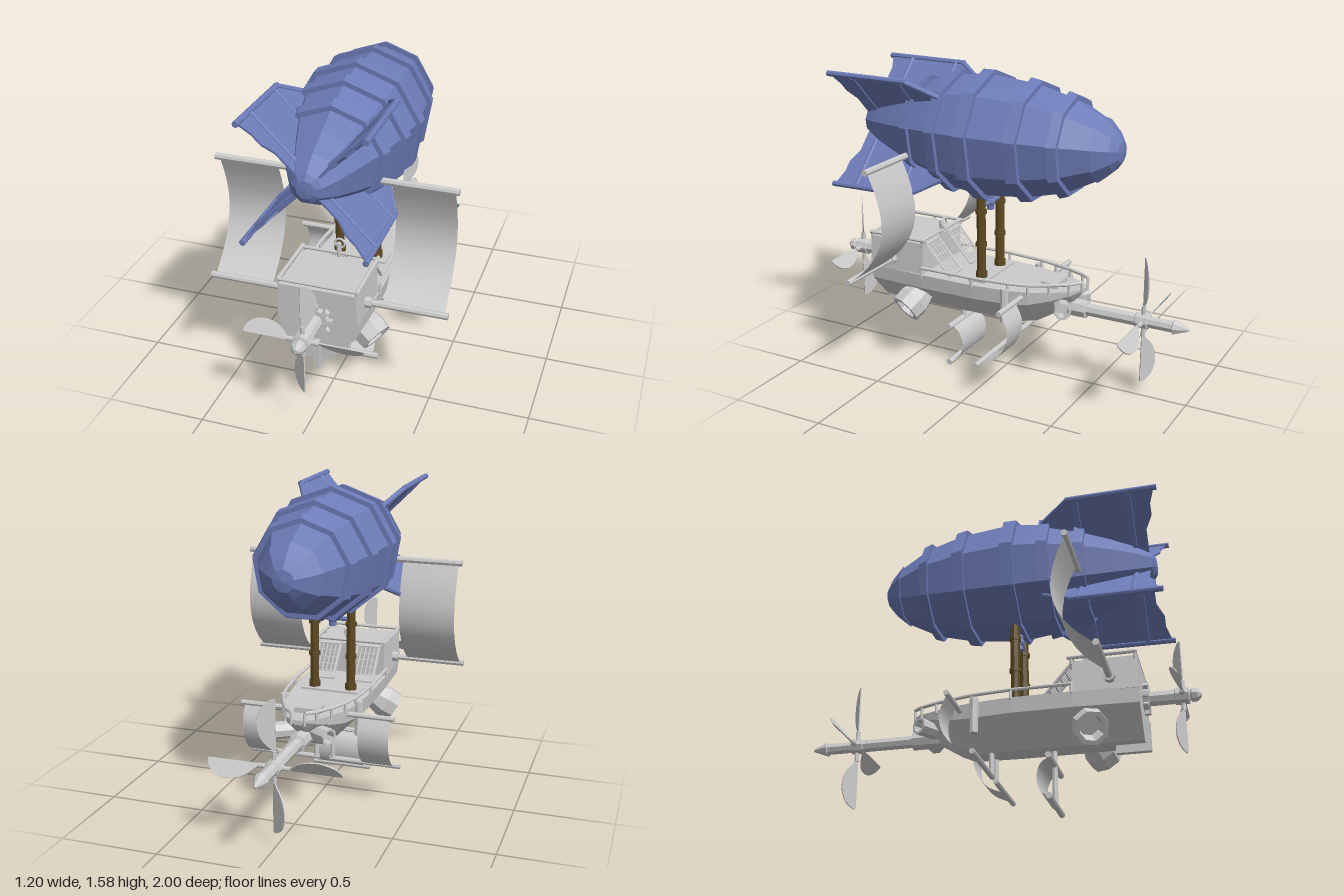
import * as THREE from 'three';

const mat = (color) => new THREE.MeshStandardMaterial({ color, flatShading: true, side: THREE.DoubleSide });
const grey = mat(0xcccccc), blue = mat(0x6d7cb8), brown = mat(0x5e4a22);
const cloth = new THREE.MeshStandardMaterial({ color: 0xcccccc, side: THREE.DoubleSide });
const V = (x, y, z) => new THREE.Vector3(x, y, z);
const UP = V(0, 1, 0);

function add(parent, name, geo, material = grey, x = 0, y = 0, z = 0) {
  const m = new THREE.Mesh(geo, material);
  m.name = name;
  m.position.set(x, y, z);
  parent.add(m);
  return m;
}

function group(parent, name, x = 0, y = 0, z = 0) {
  const g = new THREE.Group();
  g.name = name;
  g.position.set(x, y, z);
  parent.add(g);
  return g;
}

const box = (parent, name, w, h, d, x, y, z, m = grey) => add(parent, name, new THREE.BoxGeometry(w, h, d), m, x, y, z);

// Straight bar between two points
function rod(parent, name, a, b, r, material = grey, sides = 8) {
  const dir = b.clone().sub(a);
  const m = add(parent, name, new THREE.CylinderGeometry(r, r, dir.length(), sides), material);
  m.position.copy(a).add(b).multiplyScalar(0.5);
  m.quaternion.setFromUnitVectors(UP, dir.normalize());
  return m;
}

// Turned part along z from [radius, z] pairs in rising z
const turned = (pts, sides) =>
  new THREE.LatheGeometry(pts.map(p => new THREE.Vector2(...p)), sides, Math.PI).rotateX(Math.PI / 2);

// Curved cloth whose side profile runs through [y, z] points
function sail(parent, name, x0, x1, pts) {
  const curve = new THREE.CatmullRomCurve3(pts.map(([y, z]) => V(0, y, z)));
  const geo = new THREE.PlaneGeometry(x1 - x0, 1, 1, 14);
  const p = geo.attributes.position;
  for (let i = 0; i < p.count; i++) {
    const c = curve.getPoint(Math.min(1, Math.max(0, p.getY(i) + 0.5)));
    p.setXYZ(i, p.getX(i) + (x0 + x1) / 2, c.y, c.z);
  }
  geo.computeVertexNormals();
  add(parent, name, geo, cloth);
}

const profile = [[0, -0.615], [0.05, -0.608], [0.095, -0.58], [0.155, -0.515], [0.235, -0.36], [0.285, -0.16],
  [0.31, 0.1], [0.288, 0.29], [0.24, 0.46], [0.185, 0.6], [0.13, 0.72], [0.075, 0.81], [0.045, 0.828], [0, 0.832]];
function radiusAt(z) {
  const i = profile.findIndex(p => p[1] >= z);
  const [r0, z0] = profile[i - 1], [r1, z1] = profile[i];
  return r0 + (r1 - r0) * (z - z0) / (z1 - z0);
}

function buildBalloon(root) {
  const g = group(root, 'balloon', 0, 1.255, 0);
  add(g, 'envelope', turned(profile, 9), blue);
  const cap = [[0, -0.625], [0.055, -0.617], [0.1, -0.585], [0.165, -0.515], [0.15, -0.512]];
  add(g, 'noseCap', turned(cap, 9), blue);
  for (const [z0, z1] of [[0.435, 0.485], [0.255, 0.31], [0.068, 0.135], [-0.19, -0.13], [-0.38, -0.335]]) {
    const a = radiusAt(z0), b = radiusAt(z1), t = 0.025;
    add(g, 'hoop', turned([[a - 0.01, z0], [a + t, z0], [b + t, z1], [b - 0.01, z1]], 9), blue);
  }
  // Four diagonal tail fins, each a thin panel framed by spars
  const shape = new THREE.Shape([[0.28, 0.26], [0.28, 0.3], [0.42, 0.395], [0.86, 0.405], [0.835, 0.33], [0.835, 0.27],
    [0.8, 0.2], [0.8, 0.06], [0.6, 0.12], [0.4, 0.2]].map(p => new THREE.Vector2(...p)));
  for (let k = 0; k < 4; k++) {
    const fin = group(g, 'tailFin');
    fin.rotation.z = Math.PI / 4 + k * Math.PI / 2 - Math.PI / 2;
    const panel = new THREE.ExtrudeGeometry(shape, { depth: 0.01, bevelEnabled: false });
    add(fin, 'finPanel', panel.translate(0, 0, -0.005).rotateY(-Math.PI / 2), blue);
    rod(fin, 'finOuterSpar', V(0, 0.405, 0.41), V(0, 0.41, 0.875), 0.015, blue);
    rod(fin, 'finFrontSpar', V(0, 0.295, 0.27), V(0, 0.405, 0.42), 0.014, blue);
    rod(fin, 'finRib', V(0, 0.1, 0.73), V(0, 0.4, 0.73), 0.016, blue);
    rod(fin, 'finRib', V(0, 0.2, 0.46), V(0, 0.4, 0.46), 0.014, blue);
  }
  // Fitting hung below the envelope
  rod(g, 'hangerPost', V(0, -0.395, 0.1), V(0, -0.29, 0.1), 0.02, blue);
  rod(g, 'hangerBar', V(-0.1, -0.355, 0.1), V(0.1, -0.355, 0.1), 0.012, blue);
  add(g, 'hangerKnob', new THREE.SphereGeometry(0.028, 8, 6), blue, 0, -0.355, 0.1);
}

// Stations: z, half width, deck height, keel height, keel half width
const stations = [[0.72, 0.195, 0.51, 0.29, 0.055], [0.4, 0.21, 0.51, 0.29, 0.06], [0.1, 0.21, 0.51, 0.29, 0.06],
  [-0.1, 0.19, 0.51, 0.29, 0.05], [-0.2, 0.165, 0.51, 0.315, 0.045], [-0.3, 0.125, 0.515, 0.375, 0.035],
  [-0.39, 0.08, 0.52, 0.45, 0.025], [-0.44, 0.035, 0.525, 0.5, 0.015]];

function hullGeometry() {
  const pos = [], idx = [], n = 6;
  stations.forEach(([z, w, top, bot, k]) => {
    const mid = bot + (top - bot) * 0.65;
    [[w, top], [w * 0.96, mid], [k, bot], [-k, bot], [-w * 0.96, mid], [-w, top]].forEach(([x, y]) => pos.push(x, y, z));
  });
  const last = (stations.length - 1) * n;
  for (let i = 0; i < last; i += n)
    for (let j = 0; j < n; j++) {
      const a = i + j, b = i + (j + 1) % n;
      idx.push(a, b, a + n, b, b + n, a + n);
    }
  for (let j = 1; j < n - 1; j++) idx.push(0, j + 1, j, last, last + j, last + j + 1);
  const geo = new THREE.BufferGeometry();
  geo.setAttribute('position', new THREE.Float32BufferAttribute(pos, 3));
  geo.setIndex(idx);
  geo.computeVertexNormals();
  return geo;
}

function buildHull(root) {
  const g = group(root, 'gondola');
  add(g, 'hull', hullGeometry());
  // Stern cabin, slightly narrower at its roof
  const cabin = new THREE.BoxGeometry(0.4, 0.17, 0.32);
  const p = cabin.attributes.position;
  for (let i = 0; i < p.count; i++) if (p.getY(i) > 0) p.setX(i, p.getX(i) * 0.96);
  add(g, 'cabin', cabin, grey, 0, 0.59, 0.56);
  box(g, 'keelPlate', 0.03, 0.15, 0.17, 0, 0.325, 0.66);
  box(g, 'mastStep', 0.32, 0.03, 0.1, 0, 0.505, 0.1);
  box(g, 'bowLocker', 0.13, 0.055, 0.09, 0, 0.515, -0.27);
  rod(g, 'helmPost', V(0, 0.67, 0.4), V(0, 0.75, 0.4), 0.012);
  add(g, 'helmWheel', new THREE.TorusGeometry(0.025, 0.006, 6, 10), grey, 0, 0.74, 0.385);
  rod(g, 'cabinRailBack', V(-0.2, 0.695, 0.71), V(0.2, 0.695, 0.71), 0.009);
  rod(g, 'cabinRailFront', V(-0.2, 0.695, 0.4), V(0.2, 0.695, 0.4), 0.009);

  for (const s of [-1, 1]) {
    // Deck rail following the hull outline
    const rail = stations.slice(1).map(([z, w, top]) => V(s * w, top + 0.04, z));
    rail.forEach((v, i) => {
      rod(g, 'railPost', V(v.x, 0.5, v.z), v, 0.008);
      if (i) rod(g, 'deckRail', rail[i - 1], v, 0.009);
    });
    rod(g, 'cabinRail', V(s * 0.195, 0.695, 0.38), V(s * 0.195, 0.695, 0.72), 0.01);
    for (const z of [0.4, 0.56, 0.71]) rod(g, 'cabinRailPost', V(s * 0.19, 0.66, z), V(s * 0.195, 0.695, z), 0.008);
    // Sloping lattice from deck to cabin roof
    const at = (u, v) => V(s * (0.05 + 0.12 * u), 0.515 + 0.155 * v, 0.255 + 0.135 * v);
    for (let i = 0; i <= 5; i++) {
      const edge = i % 5 ? 0.004 : 0.008;
      rod(g, 'latticeBar', at(i / 5, 0), at(i / 5, 1), edge, grey, 5);
      rod(g, 'latticeBar', at(0, i / 5), at(1, i / 5), edge, grey, 5);
    }
    // Masts with collars
    const mast = group(g, 'mast', s * 0.1, 0, 0.1);
    rod(mast, 'mastPole', V(0, 0.51, 0), V(0, 0.99, 0), 0.024, brown);
    for (const [y, h] of [[0.535, 0.03], [0.7, 0.02], [0.875, 0.02]])
      add(mast, 'mastCollar', new THREE.CylinderGeometry(0.031, 0.031, h, 8), brown, 0, y, 0);
    // Side thruster, an open octagonal barrel
    const barrel = [[0, -0.1], [0.06, -0.1], [0.09, 0], [0.085, 0.065], [0.062, 0.065], [0.052, -0.02], [0, -0.02]];
    const aim = V(s * 0.72, -0.5, 0.3).normalize();
    const thruster = add(g, 'sideThruster', new THREE.LatheGeometry(barrel.map(q => new THREE.Vector2(...q)), 8),
      grey, s * 0.175, 0.34, 0.475);
    thruster.quaternion.setFromUnitVectors(UP, aim);
    // Bow port and side canister
    const port = [[0, -0.08], [0.04, -0.08], [0.045, 0.05], [0.032, 0.05], [0.03, 0], [0, 0]];
    add(g, 'bowPort', new THREE.LatheGeometry(port.map(q => new THREE.Vector2(...q)), 8), grey, s * 0.1, 0.435, -0.36)
      .quaternion.setFromUnitVectors(UP, V(s * 0.85, 0, -0.5).normalize());
    rod(g, 'sideCanister', V(s * 0.2, 0.345, -0.085), V(s * 0.2, 0.525, -0.085), 0.022);
  }
}

function buildSails(root) {
  for (const s of [-1, 1]) {
    const big = group(root, 'mainSail');
    const x = [s * 0.28, s * 0.58].sort((a, b) => a - b);
    sail(big, 'mainSailCloth', x[0], x[1], [[0.565, 0.585], [0.66, 0.475], [0.78, 0.4], [0.9, 0.38], [1.03, 0.405], [1.155, 0.455]]);
    rod(big, 'upperSpar', V(s * 0.18, 1.155, 0.455), V(s * 0.6, 1.155, 0.455), 0.017);
    rod(big, 'lowerSpar', V(s * 0.17, 0.567, 0.585), V(s * 0.6, 0.567, 0.585), 0.017);
    add(big, 'sparSocket', new THREE.CylinderGeometry(0.028, 0.028, 0.04, 8).rotateZ(Math.PI / 2), grey, s * 0.21, 0.567, 0.585);

    const side = group(root, 'sideSail');
    const w = [s * 0.23, s * 0.39].sort((a, b) => a - b);
    sail(side, 'sideSailCloth', w[0], w[1], [[0.175, -0.035], [0.22, -0.13], [0.3, -0.19], [0.39, -0.203], [0.48, -0.165]]);
    rod(side, 'upperSpar', V(s * 0.12, 0.48, -0.165), V(s * 0.41, 0.48, -0.165), 0.014);
    rod(side, 'lowerSpar', V(s * 0.03, 0.175, -0.035), V(s * 0.41, 0.175, -0.035), 0.014);
    rod(side, 'sparStrut', V(s * 0.045, 0.175, -0.035), V(s * 0.045, 0.3, -0.035), 0.013);
  }
  const keel = group(root, 'keelSail');
  sail(keel, 'keelSailCloth', -0.13, 0.13, [[0.02, 0.27], [0.05, 0.225], [0.12, 0.205], [0.19, 0.225], [0.222, 0.27]]);
  for (const y of [0.018, 0.22]) rod(keel, 'keelSpar', V(-0.16, y, 0.27), V(0.16, y, 0.27), 0.016);
  rod(keel, 'keelStrut', V(0, 0.018, 0.27), V(0, 0.3, 0.27), 0.014);
}

// Four pitched paddle blades around a hub
function propeller(parent, name, y, z, size) {
  const g = group(parent, name, 0, y, z);
  const s = new THREE.Shape();
  s.moveTo(-0.008, 0.02);
  s.lineTo(0.012, 0.08);
  s.quadraticCurveTo(0.075, 0.13, 0.07, 0.21);
  s.quadraticCurveTo(0.06, 0.28, 0.0, 0.295);
  s.lineTo(-0.008, 0.29);
  for (let k = 0; k < 4; k++) {
    const arm = group(g, 'bladeArm');
    arm.rotation.z = k * Math.PI / 2;
    const geo = new THREE.ExtrudeGeometry(s, { depth: 0.006, bevelEnabled: false, curveSegments: 6 });
    add(arm, 'blade', geo.scale(size, size, 1).translate(0, 0, -0.003).rotateY(0.6));
    rod(arm, 'bladeRoot', V(0, 0, 0), V(0, 0.08, 0), 0.012);
  }
}

function buildDrives(root) {
  const stern = group(root, 'sternDrive', 0, 0.52, 0);
  add(stern, 'sternShaft', turned([[0, 0.7], [0.065, 0.7], [0.065, 0.75], [0.038, 0.75], [0.038, 0.87], [0.045, 0.875],
    [0.045, 0.94], [0.026, 0.945], [0.036, 0.955], [0.034, 0.98], [0.012, 1], [0, 1]], 8));
  for (let k = 0; k < 8; k++) {
    const a = k * Math.PI / 4;
    box(stern, 'gearTooth', 0.025, 0.025, 0.025, Math.cos(a) * 0.068, Math.sin(a) * 0.068, 0.735).rotation.z = a;
  }
  propeller(root, 'sternPropeller', 0.52, 0.91, 1);
  const bow = group(root, 'bowDrive', 0, 0.41, 0);
  add(bow, 'bowShaft', turned([[0, -1], [0.008, -0.995], [0.038, -0.92], [0.03, -0.915], [0.03, -0.79], [0.04, -0.785],
    [0.04, -0.725], [0.033, -0.72], [0.033, -0.46], [0.048, -0.455], [0.048, -0.3], [0, -0.25]], 8));
  propeller(root, 'bowPropeller', 0.41, -0.76, 1.13);
}

export function createModel() {
  const root = new THREE.Group();
  root.name = 'airship';
  buildBalloon(root);
  buildHull(root);
  buildSails(root);
  buildDrives(root);
  return root;
}
